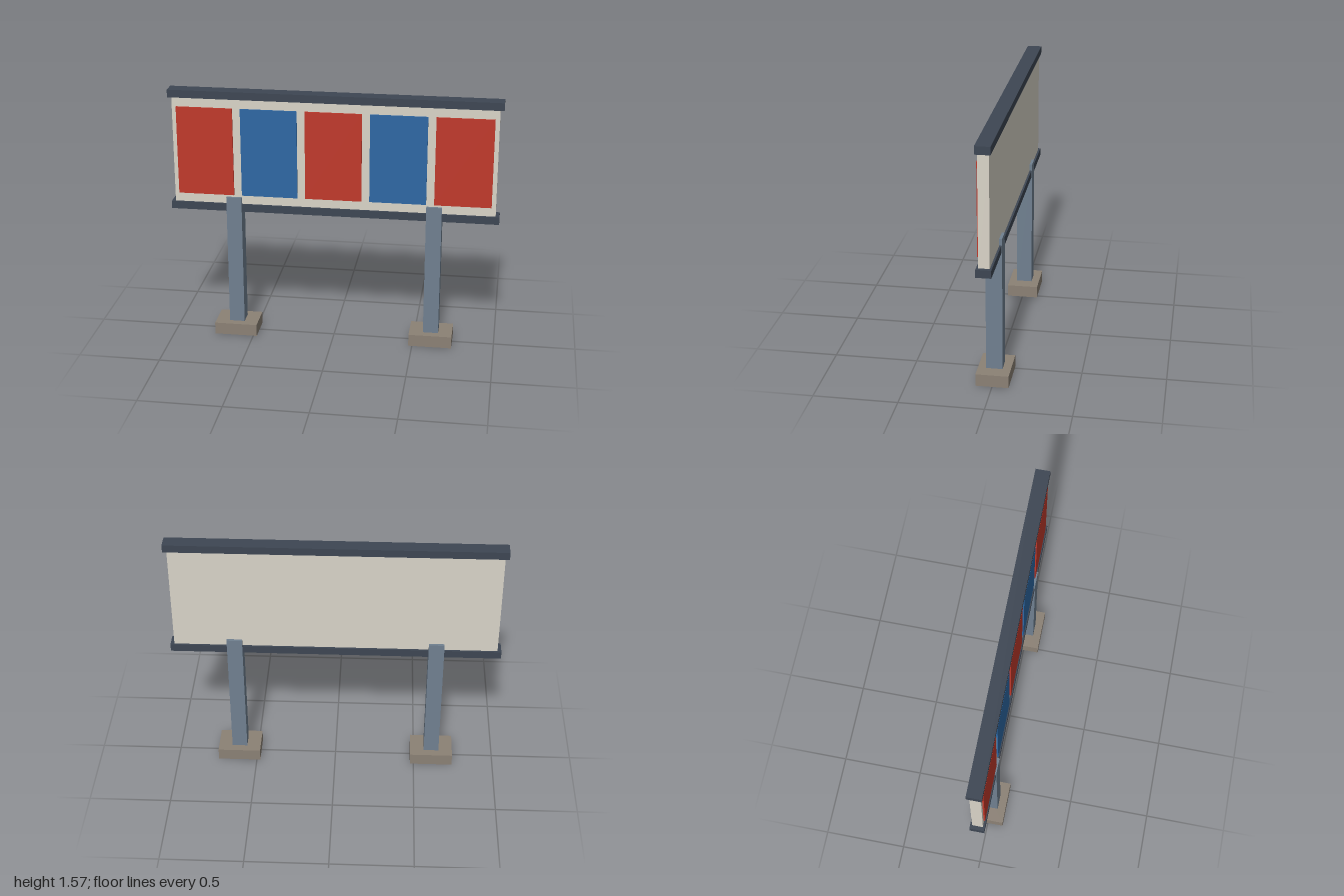
import * as THREE from 'three';

const paint = (color) => new THREE.MeshStandardMaterial({ color });

export function createModel() {
  const group = new THREE.Group();
  const cream = paint(0xd9d4c8), rail = paint(0x3d4653), steel = paint(0x708090);
  const concrete = paint(0x8b8175), red = paint(0xc0392b), blue = paint(0x2e68a4);

  // Box given by centre x, bottom and top y, centre z, width and depth
  const box = (name, material, x, y0, y1, z, width, depth) => {
    const mesh = new THREE.Mesh(new THREE.BoxGeometry(width, y1 - y0, depth), material);
    mesh.position.set(x, (y0 + y1) / 2, z);
    mesh.name = name;
    group.add(mesh);
  };

  // Board with a rail along its top and bottom
  box('board', cream, 0, 0.85, 1.53, 0, 1.954, 0.064);
  box('topRail', rail, 0, 1.523, 1.57, 0, 2, 0.088);
  box('bottomRail', rail, 0, 0.815, 0.862, 0, 2, 0.088);

  // Five raised panels in alternating colours on the front
  for (let i = 0; i < 5; i++) {
    box(`panel${i + 1}`, i % 2 ? blue : red, (i - 2) * 0.39, 0.918, 1.466, 0.035, 0.342, 0.012);
  }

  // Posts on footings
  for (const [side, x] of [['left', 0.61], ['right', -0.61]]) {
    box(`${side}Post`, steel, x, 0.005, 0.904, 0, 0.094, 0.097);
    box(`${side}Footing`, concrete, x, 0, 0.075, 0, 0.265, 0.195);
  }
  return group;
}
